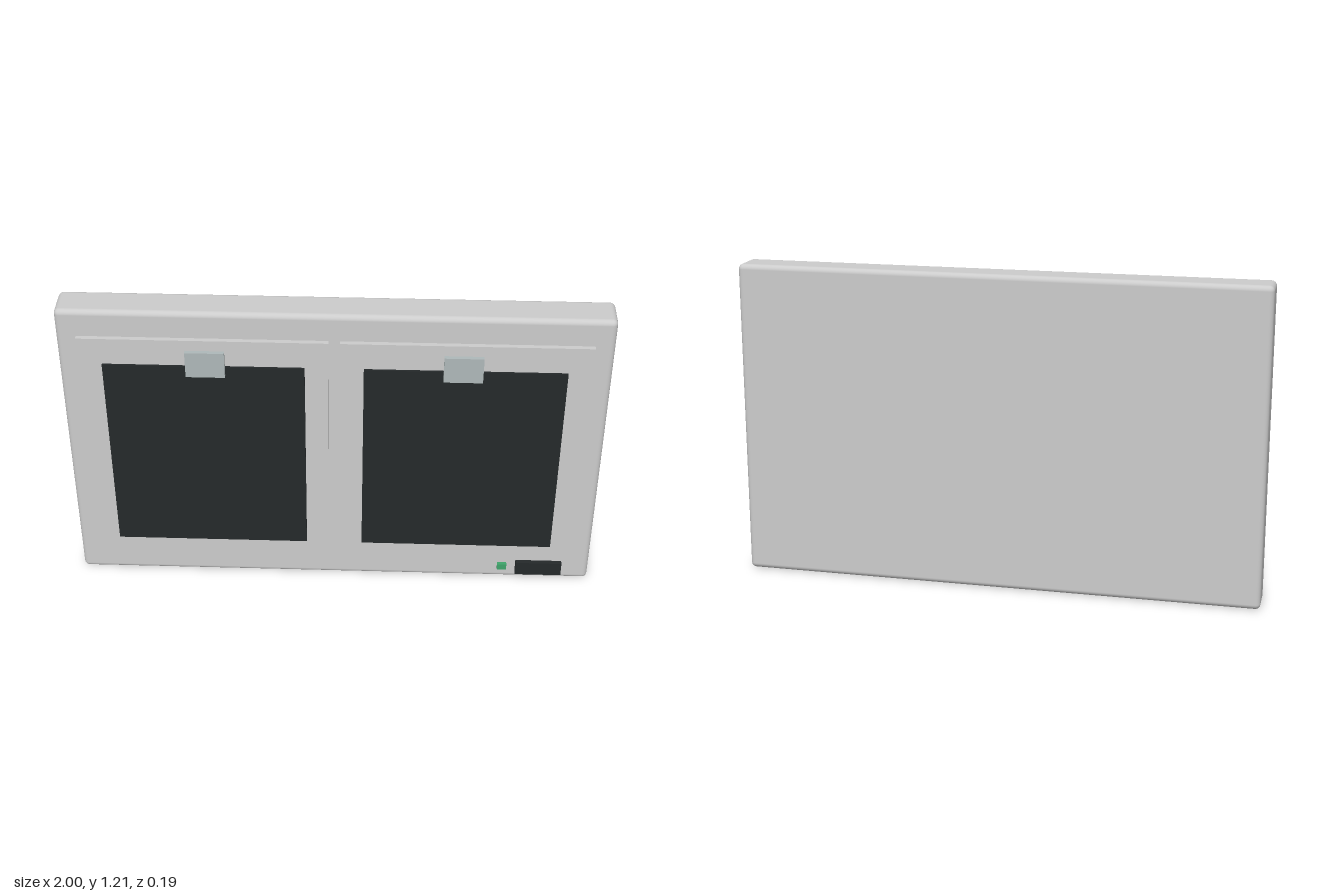
import * as THREE from 'three';
import { RoundedBoxGeometry } from 'three/addons/geometries/RoundedBoxGeometry.js';

const grey = new THREE.MeshStandardMaterial({ color: 0xcccccc });
const dark = new THREE.MeshStandardMaterial({ color: 0x24292a });
const clipGrey = new THREE.MeshStandardMaterial({ color: 0xaeb8b9 });
const green = new THREE.MeshStandardMaterial({ color: 0x3fa56b });

// Box given by its centre in x and its extents in y and z
function slab(name, material, x, width, [y0, y1], [z0, z1]) {
  const mesh = new THREE.Mesh(new THREE.BoxGeometry(width, y1 - y0, z1 - z0), material);
  mesh.name = name;
  mesh.position.set(x, (y0 + y1) / 2, (z0 + z1) / 2);
  return mesh;
}

export function createModel() {
  const model = new THREE.Group();
  model.name = 'doublePanelLightBox';

  // Housing with softly rounded edges
  const housing = new THREE.Mesh(new RoundedBoxGeometry(2, 1.213, 0.14, 5, 0.02), grey);
  housing.name = 'housing';
  housing.position.set(0, 0.6065, -0.021);
  model.add(housing);

  // Two viewing panels, each with a dark film sheet and a clip
  for (const [side, s] of [['left', 1], ['right', -1]]) {
    const bay = new THREE.Group();
    bay.name = side + 'Bay';
    bay.add(
      slab('panel', grey, s * 0.474, 0.907, [0.11, 1.108], [0.045, 0.067]),
      slab('filmSheet', dark, s * 0.473, 0.733, [0.183, 1.002], [0.066, 0.075]),
      slab('clip', clipGrey, s * 0.464, 0.142, [0.969, 1.073], [0.078, 0.094]),
    );
    model.add(bay);
  }

  // Controls at the lower corner
  model.add(
    slab('controlPanel', dark, 0.803, 0.18, [0.03, 0.089], [0.045, 0.067]),
    slab('indicatorLight', green, 0.66, 0.036, [0.05, 0.076], [0.045, 0.064]),
  );
  return model;
}
